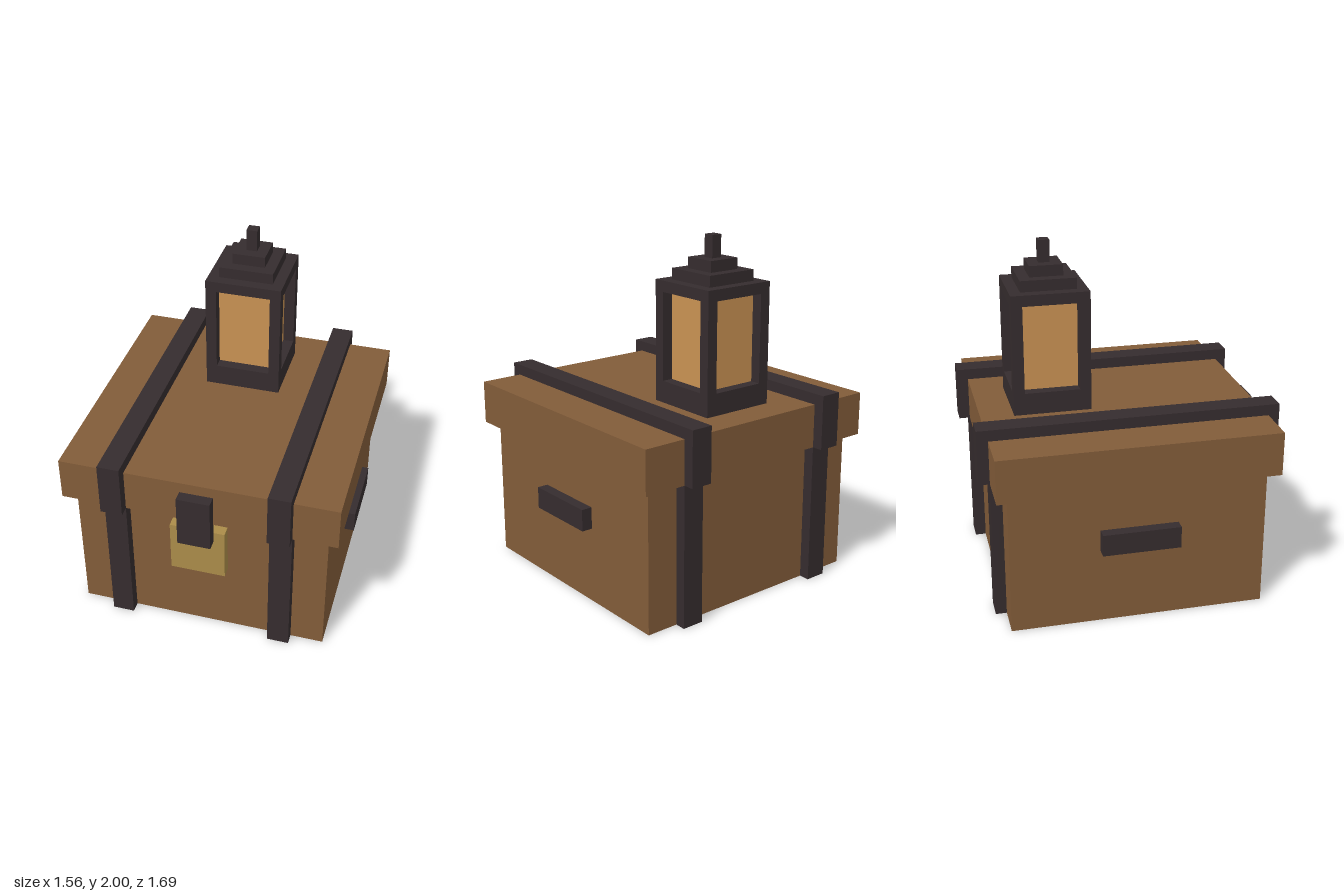
import * as THREE from 'three';

const U = 1 / 16; // all parts sit on a grid of sixteenths

const material = (name, color) => {
  const m = new THREE.MeshStandardMaterial({ color });
  m.name = name;
  return m;
};

export function createModel() {
  const wood = material('wood', 0x825c39);
  const iron = material('dark iron', 0x352c2e);
  const brass = material('brass', 0xab8c49);
  const glow = material('lantern glow', 0xc99253);

  // Box between two corners, given in grid units
  const box = (parent, name, mat, [x0, y0, z0], [x1, y1, z1]) => {
    const mesh = new THREE.Mesh(new THREE.BoxGeometry((x1 - x0) * U, (y1 - y0) * U, (z1 - z0) * U), mat);
    mesh.position.set((x0 + x1) * U / 2, (y0 + y1) * U / 2, (z0 + z1) * U / 2);
    mesh.name = name;
    parent.add(mesh);
  };

  const model = new THREE.Group();
  model.name = 'chestWithLantern';

  // Chest
  box(model, 'chestBody', wood, [-11.5, 0, -11.5], [11.5, 13, 11.5]);
  box(model, 'lid', wood, [-12.5, 13, -12.5], [12.5, 17, 12.5]);

  // Iron straps over the lid and down the front and back
  for (const x of [-7.5, 7.5]) {
    const strap = new THREE.Group();
    strap.name = x < 0 ? 'rightStrap' : 'leftStrap';
    box(strap, 'strapTop', iron, [x - 1, 17, -13.5], [x + 1, 18, 13.5]);
    box(strap, 'strapLidFront', iron, [x - 1, 13, 12.5], [x + 1, 17, 13.5]);
    box(strap, 'strapLidBack', iron, [x - 1, 13, -13.5], [x + 1, 17, -12.5]);
    box(strap, 'strapBodyFront', iron, [x - 1, 0, 11.5], [x + 1, 13, 12.5]);
    box(strap, 'strapBodyBack', iron, [x - 1, 0, -12.5], [x + 1, 13, -11.5]);
    model.add(strap);
  }

  // Side handles
  box(model, 'leftHandle', iron, [11.5, 7, -3.5], [12.5, 9, 3.5]);
  box(model, 'rightHandle', iron, [-12.5, 7, -3.5], [-11.5, 9, 3.5]);

  // Lock plate and hasp
  box(model, 'lockPlate', brass, [-2.5, 7, 11.5], [2.5, 12, 12.5]);
  box(model, 'hasp', iron, [-1.5, 11, 12.5], [1.5, 16, 13.5]);

  // Lantern, standing towards the back of the lid
  const lantern = new THREE.Group();
  lantern.name = 'lantern';
  lantern.position.set(0, 17 * U, -6 * U);
  model.add(lantern);
  const tier = (name, mat, r, y0, y1) => box(lantern, name, mat, [-r, y0, -r], [r, y1, r]);
  tier('lanternBase', iron, 3.5, 0, 2);
  tier('lanternGlass', glow, 2.5, 2, 10);
  tier('lanternTop', iron, 3.5, 10, 11);
  tier('roofLower', iron, 2.5, 11, 12);
  tier('roofUpper', iron, 1.5, 12, 13);
  tier('finial', iron, 0.5, 13, 15);
  for (const x of [-3, 3]) for (const z of [-3, 3]) {
    box(lantern, 'cornerPost', iron, [x - 0.5, 2, z - 0.5], [x + 0.5, 10, z + 0.5]);
  }

  return model;
}
